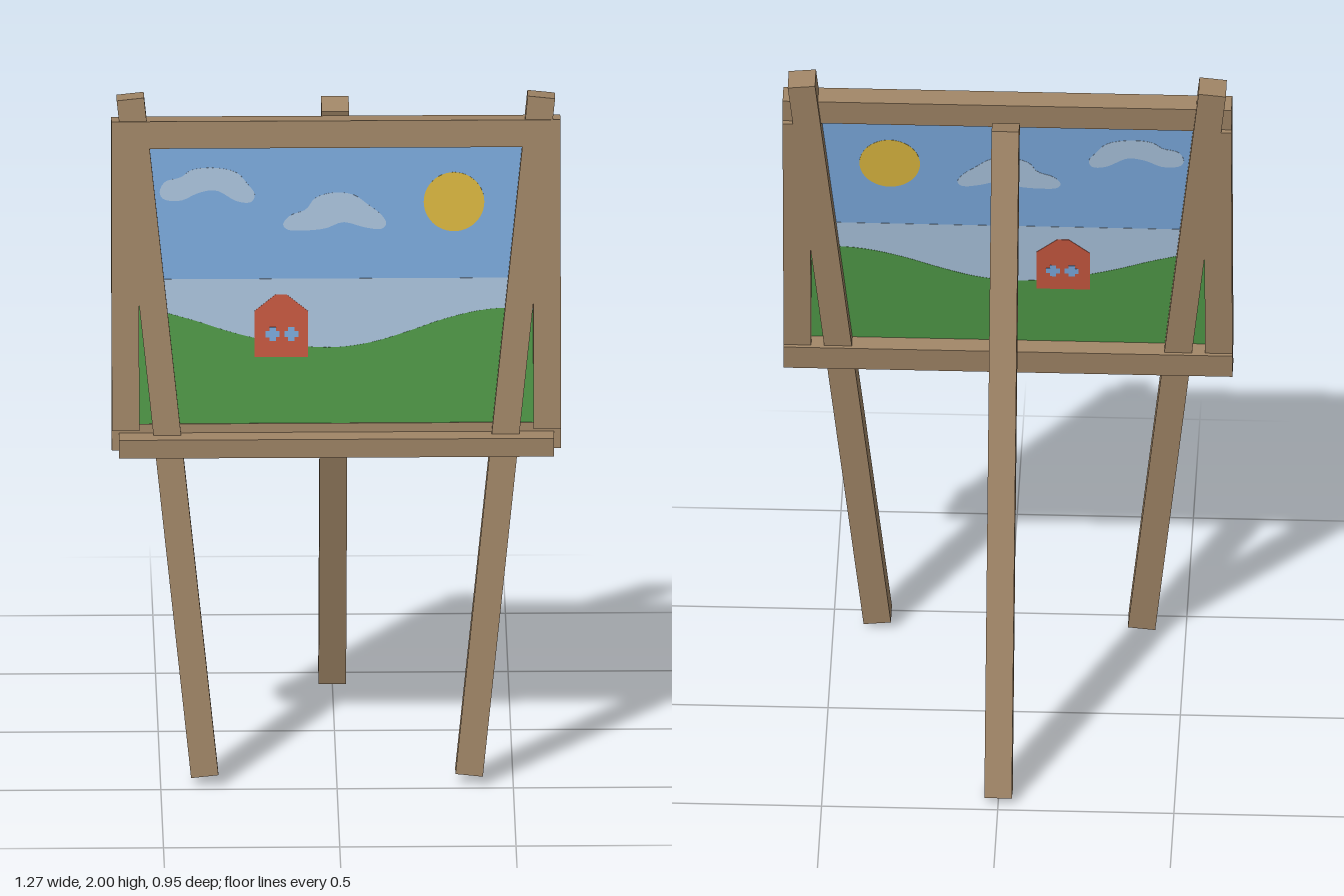
import * as THREE from 'three';

const mat = (name, color, extra = {}) => {
  const m = new THREE.MeshStandardMaterial({ color, ...extra });
  m.name = name;
  return m;
};

export function createModel() {
  const model = new THREE.Group();
  model.name = 'easel';
  const wood = mat('wood', 0xa08566);
  const sky = mat('sky blue', 0x7aa9dc);
  const pale = mat('pale blue', 0xa9c2dc);
  const green = mat('grass green', 0x4f9847);
  const yellow = mat('sun yellow', 0xdab63f);
  const red = mat('house red', 0xc6573f);

  const LEAN = 0.103; // backward lean of the easel face

  const add = (parent, name, geometry, material) => {
    const mesh = new THREE.Mesh(geometry, material);
    mesh.name = name;
    parent.add(mesh);
    return mesh;
  };

  // Square beam running between two end points
  const beam = (name, a, b, w, d) => {
    const from = new THREE.Vector3(...a), to = new THREE.Vector3(...b);
    const up = to.clone().sub(from);
    const length = up.length();
    up.normalize();
    const x = new THREE.Vector3(1, 0, 0).addScaledVector(up, -up.x).normalize();
    const z = new THREE.Vector3().crossVectors(x, up);
    const mesh = add(model, name, new THREE.BoxGeometry(w, length, d), wood);
    mesh.quaternion.setFromRotationMatrix(new THREE.Matrix4().makeBasis(x, up, z));
    mesh.position.copy(from).add(to).multiplyScalar(0.5);
  };

  // Box at a position, optionally leaning with the easel face
  const block = (name, size, pos, lean = LEAN) => {
    const mesh = add(model, name, new THREE.BoxGeometry(...size), wood);
    mesh.position.set(...pos);
    mesh.rotation.x = -lean;
  };

  // Legs
  for (const [side, s] of [['left', 1], ['right', -1]]) {
    beam(side + 'FrontLeg', [s * 0.375, 0.027, 0.438], [s * 0.583, 1.992, 0.235], 0.078, 0.075);
    block(side + 'FrameStile', [0.078, 0.83, 0.074], [s * 0.598, 1.443, 0.2915]);
  }
  beam('backLeg', [0, 0.0115, -0.436], [0, 1.923, 0.111], 0.078, 0.076);

  // Frame rails and tray
  block('topRail', [1.274, 0.079, 0.063], [0, 1.889, 0.254]);
  block('bottomRail', [1.274, 0.076, 0.063], [0, 1.005, 0.32]);
  block('tray', [1.234, 0.055, 0.078], [0, 0.993, 0.374], 0);

  // Picture: thin plates, each slightly thicker than the one below so it shows on both faces
  const picture = new THREE.Group();
  picture.name = 'picture';
  picture.position.set(0, 1.04, 0.34);
  picture.rotation.x = -LEAN;
  model.add(picture);

  const plate = (name, shape, thickness, material) => {
    const g = new THREE.ExtrudeGeometry(shape, { depth: thickness, bevelEnabled: false, curveSegments: 24 });
    g.translate(0, -1.04, -thickness / 2);
    add(picture, name, g, material);
  };
  const polygon = (points) => new THREE.Shape(points.map((p) => new THREE.Vector2(...p)));
  const rect = (x0, y0, x1, y1) => polygon([[x0, y0], [x1, y0], [x1, y1], [x0, y1]]);
  const smooth = (points, closed) => new THREE.CatmullRomCurve3(
    points.map(([x, y]) => new THREE.Vector3(x, y, 0)), closed,
  ).getPoints(48).map((p) => [p.x, p.y]);

  plate('sky', rect(-0.565, 1.03, 0.565, 1.86), 0.003, sky);
  plate('horizonHaze', rect(-0.565, 1.1, 0.565, 1.466), 0.0045, pale);

  // Rolling hill
  const ridge = smooth([
    [0.565, 1.372], [0.48, 1.378], [0.4, 1.37], [0.3, 1.345], [0.2, 1.31], [0.1, 1.28],
    [0, 1.266], [-0.1, 1.27], [-0.2, 1.287], [-0.3, 1.312], [-0.4, 1.345], [-0.48, 1.368], [-0.565, 1.395],
  ], false);
  plate('hill', polygon([[-0.565, 1.03], [0.565, 1.03], ...ridge]), 0.006, green);

  // Sun and clouds
  const sun = new THREE.Shape();
  sun.absarc(0.335, 1.688, 0.086, 0, Math.PI * 2);
  plate('sun', sun, 0.0045, yellow);
  plate('rightCloud', polygon(smooth([
    [-0.5, 1.72], [-0.485, 1.75], [-0.44, 1.763], [-0.41, 1.784], [-0.34, 1.79], [-0.28, 1.775], [-0.25, 1.742],
    [-0.23, 1.712], [-0.24, 1.69], [-0.28, 1.692], [-0.34, 1.724], [-0.39, 1.717], [-0.44, 1.695], [-0.49, 1.7],
  ], true)), 0.0045, pale);
  plate('middleCloud', polygon(smooth([
    [-0.15, 1.625], [-0.13, 1.65], [-0.085, 1.668], [-0.06, 1.7], [-0.01, 1.716], [0.05, 1.71], [0.09, 1.682],
    [0.13, 1.65], [0.143, 1.625], [0.13, 1.61], [0.08, 1.615], [0.02, 1.63], [-0.03, 1.612], [-0.1, 1.606], [-0.14, 1.61],
  ], true)), 0.0045, pale);

  // House with two cross-shaped windows
  plate('house', polygon([
    [-0.232, 1.238], [-0.08, 1.238], [-0.08, 1.372], [-0.14, 1.42], [-0.172, 1.42], [-0.232, 1.372],
  ]), 0.0075, red);
  for (const x of [-0.18, -0.127]) {
    const a = 0.02, b = 0.009, y = 1.305;
    plate('houseWindow', polygon([
      [-b, -a], [b, -a], [b, -b], [a, -b], [a, b], [b, b],
      [b, a], [-b, a], [-b, b], [-a, b], [-a, -b], [-b, -b],
    ].map(([u, v]) => [x + u, y + v])), 0.009, sky);
  }

  return model;
}
